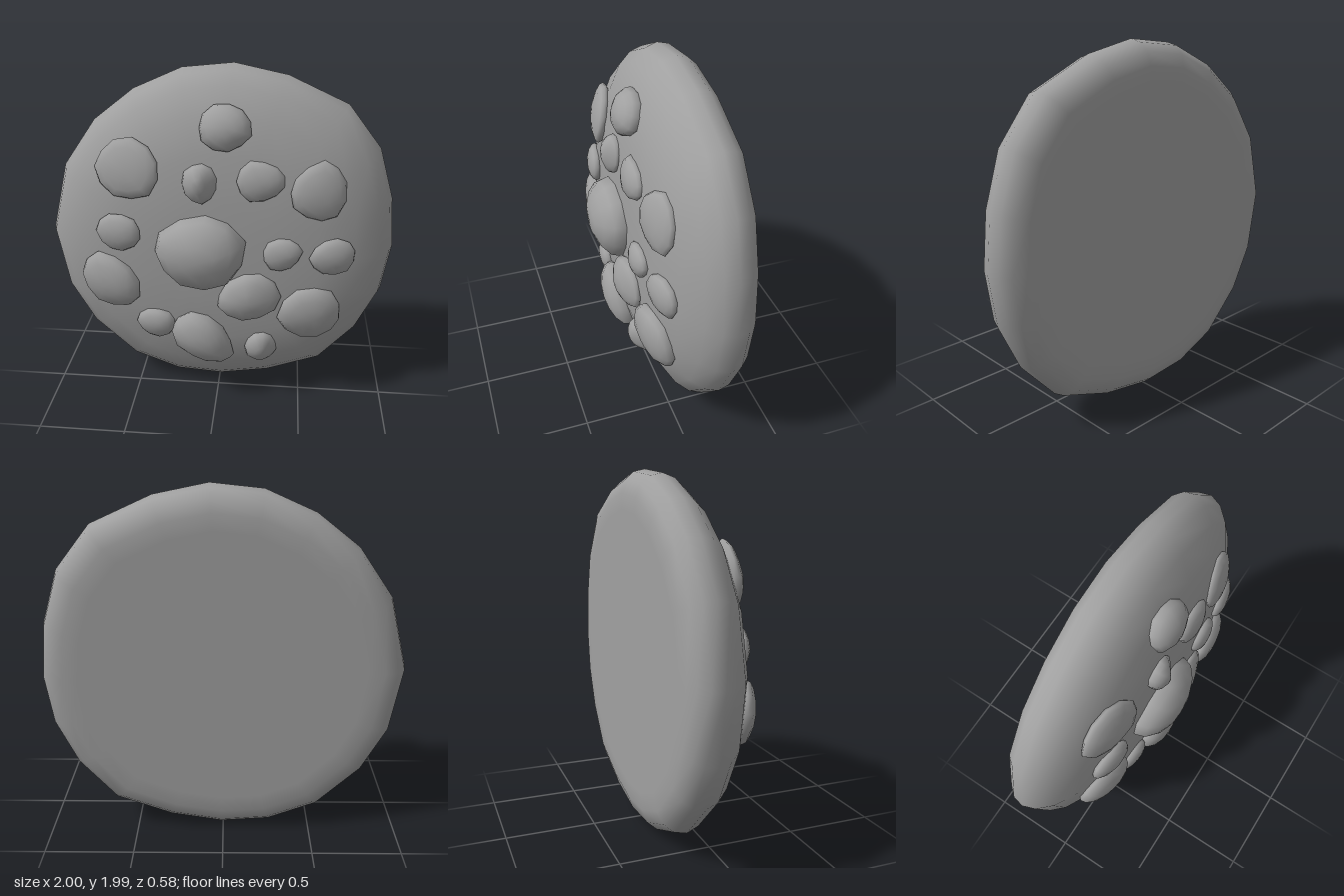
import * as THREE from 'three';
import { mergeVertices } from 'three/addons/utils/BufferGeometryUtils.js';

const material = new THREE.MeshStandardMaterial({ color: 0xa0a0a0 });

// Uneven round outline (x, y), counter-clockwise seen from the front
const outline = [
  [1, 0.95], [0.97, 1.25], [0.88, 1.54], [0.69, 1.78], [0.36, 1.93], [0.07, 1.99], [-0.21, 1.96],
  [-0.48, 1.84], [-0.71, 1.66], [-0.9, 1.39], [-1, 1], [-0.94, 0.63], [-0.8, 0.37], [-0.55, 0.13],
  [-0.27, 0.02], [0.01, 0], [0.31, 0.05], [0.63, 0.17], [0.84, 0.41], [0.96, 0.67],
];

// Cross-section (share of the outline, z): flat back, rounded rim, domed front
const profile = [
  [0, -0.29], [0.78, -0.29], [0.87, -0.288], [0.94, -0.265], [0.985, -0.215], [1, -0.15],
  [0.975, -0.08], [0.91, -0.01], [0.78, 0.065], [0.58, 0.118], [0.3, 0.138], [0, 0.142],
];

// Chips: x, y, half width, half height, turn, egg taper, front z, steepness of one side
const chips = [
  [0.04, 1.705, 0.14, 0.125, 0, 0, 0.165, 0],
  [-0.485, 1.465, 0.185, 0.17, 0, 0, 0.145, 0],
  [-0.09, 1.41, 0.095, 0.112, 0, 0, 0.2, 0.7],
  [0.235, 1.43, 0.13, 0.112, 0, 0.1, 0.17, 0],
  [0.545, 1.37, 0.155, 0.162, 0, -0.15, 0.13, 0],
  [-0.545, 1.1, 0.13, 0.112, 0, 0.1, 0.17, 0],
  [-0.095, 1.005, 0.255, 0.225, 0, -0.15, 0.285, 0],
  [0.365, 1.01, 0.11, 0.098, 0.4, 0.1, 0.17, 0],
  [0.645, 0.99, 0.13, 0.112, 0, 0, 0.13, 0],
  [-0.615, 0.78, 0.19, 0.165, -0.7, 0, 0.175, 0],
  [0.18, 0.725, 0.185, 0.15, 0.35, -0.2, 0.215, 0.5],
  [0.54, 0.62, 0.188, 0.178, -0.5, 0.1, 0.175, 0],
  [-0.355, 0.515, 0.117, 0.102, 0, 0, 0.165, 0],
  [-0.08, 0.425, 0.21, 0.148, -0.75, 0.1, 0.22, 0],
  [0.26, 0.37, 0.095, 0.112, 0, 0, 0.16, 0.5],
];

// Height of the domed front at a distance from the middle
function frontZ(r) {
  for (let i = 5; i < profile.length - 1; i++) {
    const [r0, z0] = profile[i], [r1, z1] = profile[i + 1];
    if (r <= r0 && r >= r1) return z0 + ((z1 - z0) * (r0 - r)) / (r0 - r1);
  }
  return -0.15;
}

// Sweep the outline through the cross-section
function biscuitGeometry() {
  const positions = [], index = [], n = outline.length;
  for (const [s, z] of profile) {
    for (const [x, y] of outline) positions.push(x * s, 1 + (y - 1) * s, z);
  }
  const last = profile.length - 2;
  for (let i = 0; i <= last; i++) {
    for (let j = 0; j < n; j++) {
      const a = i * n + j, b = i * n + ((j + 1) % n), c = a + n, d = b + n;
      if (i > 0) index.push(a, b, c);
      if (i < last) index.push(b, d, c);
    }
  }
  const g = new THREE.BufferGeometry();
  g.setAttribute('position', new THREE.Float32BufferAttribute(positions, 3));
  g.setIndex(index);
  const merged = mergeVertices(g);
  merged.computeVertexNormals();
  return merged;
}

// Lumpy egg-shaped pebble with its axis along z
function chipGeometry(rx, ry, depth, turn, egg, steep, seed) {
  let g = new THREE.SphereGeometry(1, 11, 8).rotateX(Math.PI / 2);
  g.deleteAttribute('uv');
  g.deleteAttribute('normal');
  g = mergeVertices(g, 1e-3);
  const p = g.attributes.position;
  for (let i = 0; i < p.count; i++) {
    const x = p.getX(i), y = p.getY(i), z = p.getZ(i);
    const a = Math.atan2(y, x);
    const lump = 1 + 0.035 * Math.sin(3 * a + seed * 1.9) + 0.025 * Math.sin(5 * a + seed * 2.7);
    const cut = 1 - steep * Math.max(x, 0);
    p.setXYZ(i, x * rx * lump, y * ry * lump * (1 - egg * x), z * depth * cut);
  }
  g.rotateZ(turn);
  g.computeVertexNormals();
  return g;
}

export function createModel() {
  const model = new THREE.Group();
  model.name = 'cookie';

  const biscuit = new THREE.Mesh(biscuitGeometry(), material);
  biscuit.name = 'biscuit';
  model.add(biscuit);

  // Chips sit half sunk in the dome, tilted along its slope
  const chipGroup = new THREE.Group();
  chipGroup.name = 'chips';
  chips.forEach(([x, y, rx, ry, turn, egg, top, steep], i) => {
    const r = Math.hypot(x, y - 1), base = frontZ(r);
    const slope = (frontZ(Math.max(r - 0.15, 0)) - frontZ(r + 0.15)) / 0.3;
    const normal = new THREE.Vector3((x / r) * slope, ((y - 1) / r) * slope, 1).normalize();
    const depth = Math.max(top - base, 0.05);
    const chip = new THREE.Mesh(chipGeometry(rx, ry, depth, turn, egg, steep, i + 1), material);
    chip.name = 'chip' + (i + 1);
    chip.position.set(x, y, base + 0.005);
    chip.quaternion.setFromUnitVectors(new THREE.Vector3(0, 0, 1), normal);
    chipGroup.add(chip);
  });
  model.add(chipGroup);
  return model;
}
